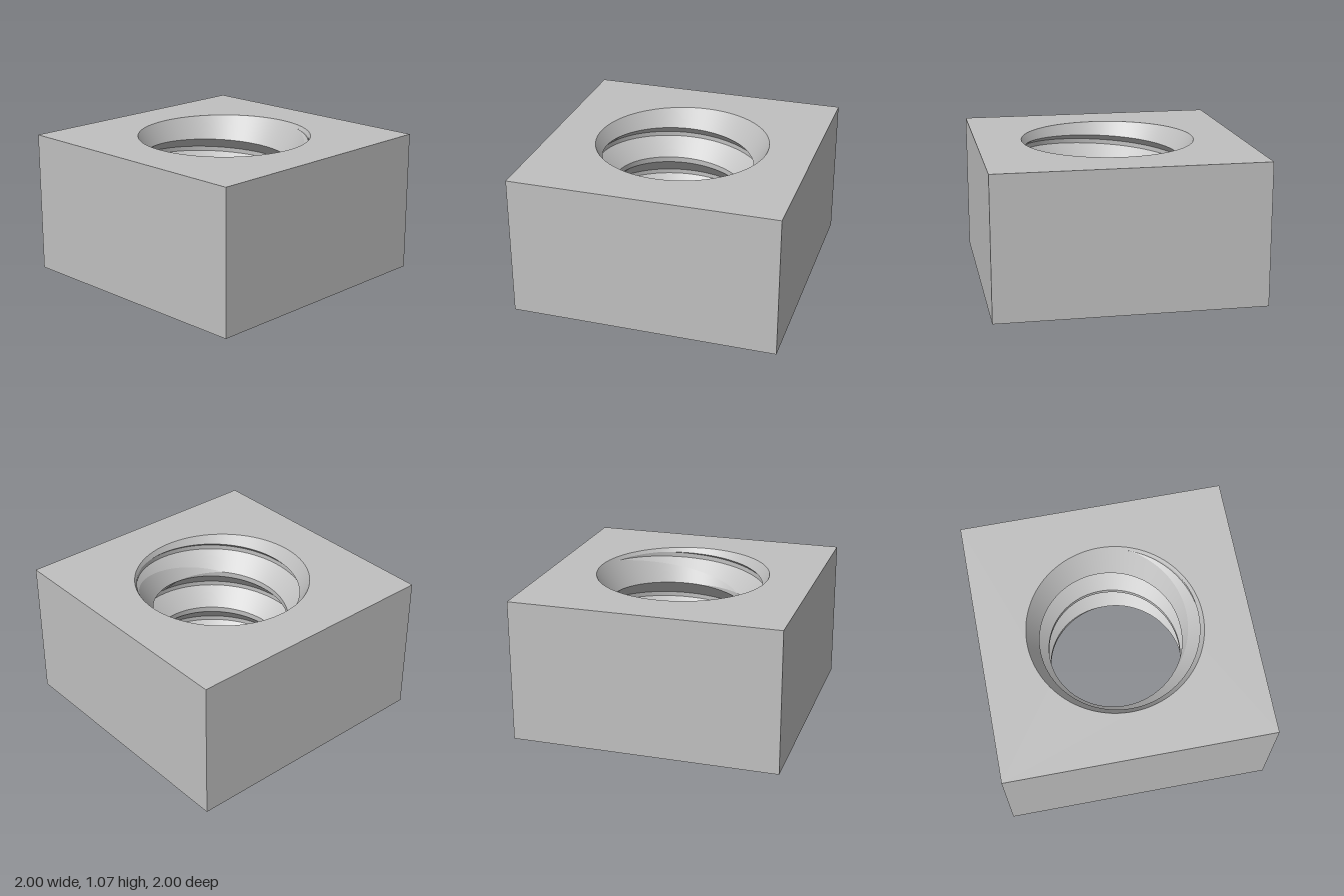
import * as THREE from 'three';

const H = 1.07;            // block height
const MOUTH = 0.655;       // chamfer radius at both openings
const TAPER = 0.577;       // chamfer radius lost per unit of depth
const MINOR = 0.505, MAJOR = 0.64, PITCH = 0.337;
const CREST_Y = 0.891;     // lower edge of a crest at the back of the bore
const COLS = 240;

// One pitch of the thread profile, from the lower edge of the crest: [height, radius]
const PROFILE = [[0, MINOR], [0.042, MINOR], [0.172, MAJOR], [0.207, MAJOR], [PITCH, MINOR]];

// Radius as a straight line in y
const line = (y0, r0, m) => ({ m, at: (y) => r0 + m * (y - y0) });
const topCone = line(H, MOUTH, TAPER);
const bottomCone = line(0, MOUTH, -TAPER);

// Part of [a, b] where line s lies outside all the other lines
function visibleSpan(s, others, a, b) {
  let lo = a, hi = b;
  for (const o of others) {
    const fa = s.at(a) - o.at(a), fb = s.at(b) - o.at(b);
    if (fa < 0 && fb < 0) return null;
    const cross = a + (b - a) * fa / (fa - fb);
    if (fa < 0) lo = Math.max(lo, cross);
    else if (fb < 0) hi = Math.min(hi, cross);
  }
  return hi > lo ? [lo, hi] : null;
}

// Sweep the helical thread, cut by the chamfer cones: which = 0 thread, 1 and 2 cones
function boreGeometry(kinds) {
  const pos = [], nor = [], idx = [];
  const put = (t, y, s) => {
    const r = s.at(y), l = Math.hypot(1, s.m);
    pos.push(-r * Math.sin(t), y, -r * Math.cos(t));
    nor.push(Math.sin(t) / l, s.m / l, Math.cos(t) / l);
  };
  for (let turn = -4; turn <= 0; turn++) {
    for (let seg = 0; seg < PROFILE.length - 1; seg++) {
      const [h0, r0] = PROFILE[seg], [h1, r1] = PROFILE[seg + 1];
      for (const kind of kinds) {
        let previous = false;
        for (let i = 0; i <= COLS; i++) {
          const t = (i / COLS) * Math.PI * 2;
          const base = CREST_Y + PITCH * (turn + i / COLS);
          const a = Math.min(H, Math.max(0, base + h0));
          const b = Math.min(H, Math.max(0, base + h1));
          const all = [line(base + h0, r0, (r1 - r0) / (h1 - h0)), topCone, bottomCone];
          const s = all[kind];
          const others = all.filter((o) => o !== s);
          const span = b - a > 1e-6 ? visibleSpan(s, others, a, b) : null;
          // an empty span shrinks to the end where the line is closest to showing
          const gap = (y) => s.at(y) - Math.max(...others.map((o) => o.at(y)));
          const end = gap(a) > gap(b) ? a : b;
          const [lo, hi] = span || [end, end];
          put(t, lo, s);
          put(t, hi, s);
          const n = pos.length / 3;
          if (i > 0 && (span || previous)) {
            idx.push(n - 2, n - 4, n - 3, n - 2, n - 3, n - 1);
          }
          previous = !!span;
        }
      }
    }
  }
  const g = new THREE.BufferGeometry();
  g.setAttribute('position', new THREE.Float32BufferAttribute(pos, 3));
  g.setAttribute('normal', new THREE.Float32BufferAttribute(nor, 3));
  g.setIndex(idx);
  return g;
}

export function createModel() {
  const group = new THREE.Group();
  group.name = 'squareNut';
  const steel = new THREE.MeshStandardMaterial({ color: 0xc0c0c0 });
  steel.name = 'steel grey';
  const add = (name, geometry) => {
    const mesh = new THREE.Mesh(geometry, steel);
    mesh.name = name;
    group.add(mesh);
    return mesh;
  };

  // Four side walls
  for (let i = 0; i < 4; i++) {
    add('sideWall', new THREE.PlaneGeometry(2, H)
      .translate(0, H / 2, 1).rotateY(i * Math.PI / 2));
  }

  // Top and bottom faces with the round opening
  const square = new THREE.Shape([[-1, -1], [1, -1], [1, 1], [-1, 1]]
    .map(([x, y]) => new THREE.Vector2(x, y)));
  square.holes.push(new THREE.Path().absarc(0, 0, MOUTH, 0, Math.PI * 2, true));
  const face = new THREE.ShapeGeometry(square, COLS / 2);
  add('topFace', face.clone().rotateX(-Math.PI / 2).translate(0, H, 0));
  add('bottomFace', face.clone().rotateX(Math.PI / 2));

  // Threaded bore and the chamfers leading into it
  add('thread', boreGeometry([0]));
  add('chamfers', boreGeometry([1, 2]));
  return group;
}
